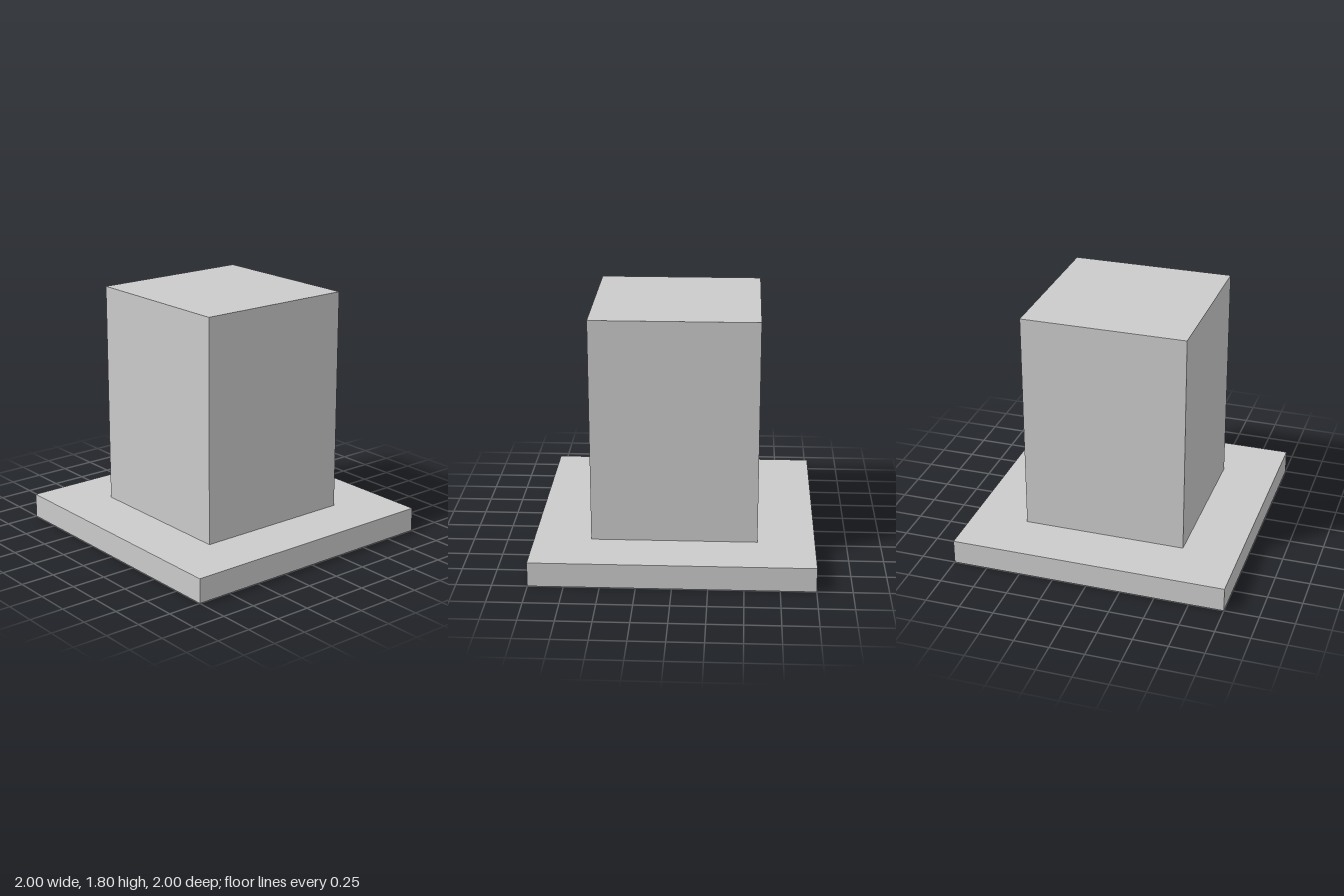
import * as THREE from 'three';

const BASE_HEIGHT = 0.177;
const TOTAL_HEIGHT = 1.8;

export function createModel() {
  const model = new THREE.Group();
  model.name = 'blockOnPlinth';
  const material = new THREE.MeshStandardMaterial({ color: 0xcccccc, flatShading: true });

  // Square box standing on height y
  const addBlock = (name, width, height, y) => {
    const mesh = new THREE.Mesh(new THREE.BoxGeometry(width, height, width), material);
    mesh.name = name;
    mesh.position.y = y + height / 2;
    model.add(mesh);
  };

  // Wide, flat base slab
  addBlock('base', 2, BASE_HEIGHT, 0);
  // Tall block standing on the slab
  addBlock('block', 1.184, TOTAL_HEIGHT - BASE_HEIGHT, BASE_HEIGHT);

  return model;
}
